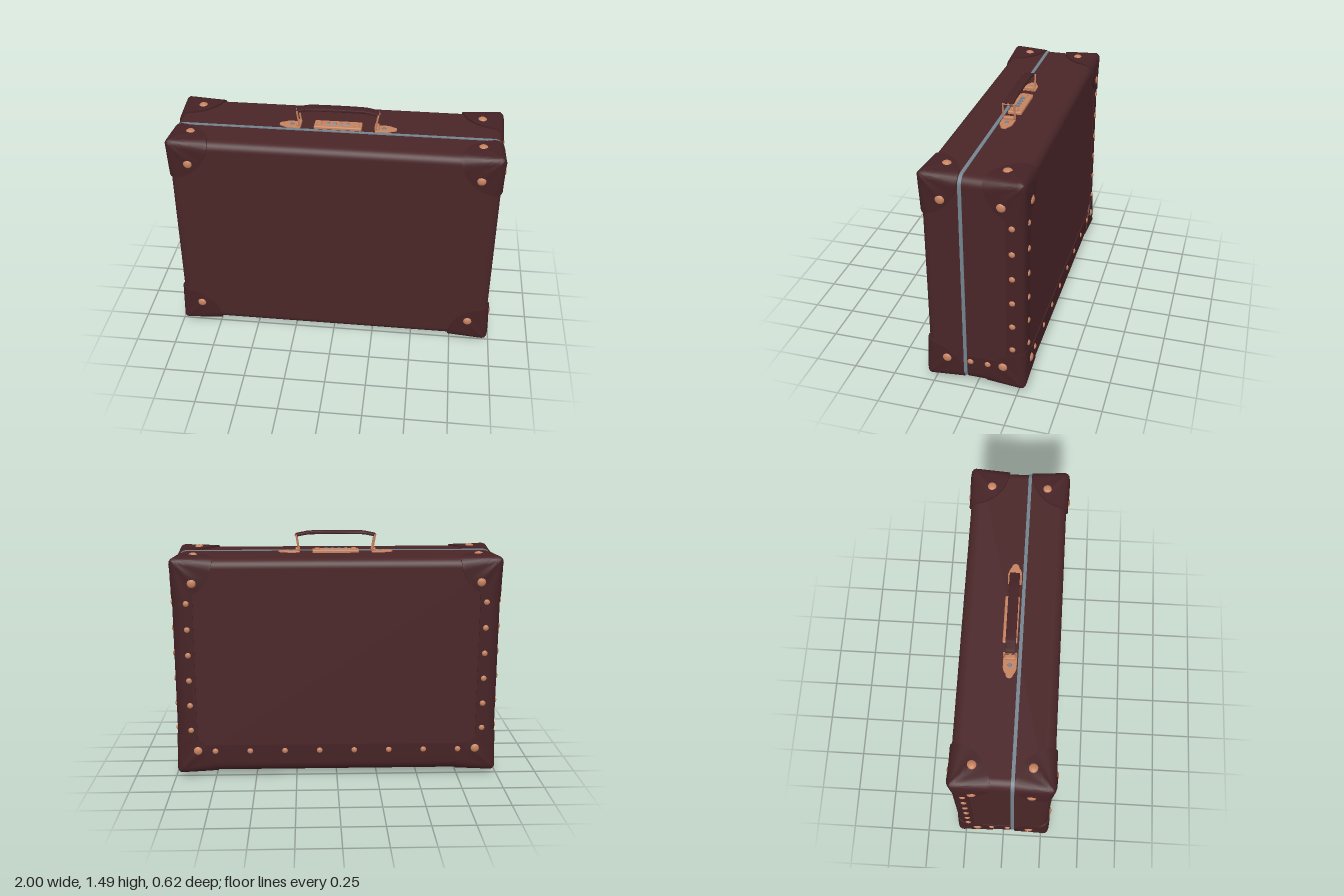
import * as THREE from 'three';
import { toCreasedNormals } from 'three/addons/utils/BufferGeometryUtils.js';
import { RoundedBoxGeometry } from 'three/addons/geometries/RoundedBoxGeometry.js';

const paint = (name, color) => Object.assign(new THREE.MeshStandardMaterial({ color }), { name });

// Half sizes of the case, its centre height and edge radius
const H = [0.975, 0.661, 0.286], CY = 0.703, R = 0.055;
const SIDES = [-1, 1];

// Leather corner cap: three rounded flaps wrapped over a corner, sharper towards the tip
function capGeometry(s) {
  const reach = [0.24, 0.24, s[2] > 0 ? 0.215 : 0.222], N = 16, RINGS = 12, cols = 3 * N;
  const pos = [], idx = [];
  for (let j = 0; j <= RINGS + 1; j++) {
    const t = Math.min(j / RINGS, 1), r = 0.018 + (R - 0.018) * t;
    for (let i = 0; i < cols; i++) {
      const k = Math.floor(i / N), a = (k + 1) % 3, b = (k + 2) % 3;
      const th = (i % N) / N * Math.PI / 2;
      const p = [0, 0, 0];
      p[a] = t * reach[a] * Math.cos(th);
      p[b] = t * reach[b] * Math.sin(th);
      const core = p.map(v => Math.max(v, r));
      const d = new THREE.Vector3(...p.map((v, m) => v - core[m])).normalize().toArray();
      // stitched fold running from the tip to the rivet
      const fold = Math.max(0, 1 - Math.abs(th - Math.PI / 4) / 0.28) * Math.sin(Math.PI * t) * 0.006;
      const off = j > RINGS ? -0.01 : 0.011 + fold;
      for (let m = 0; m < 3; m++) pos.push(s[m] * (H[m] - core[m] - d[m] * (r + off)));
    }
  }
  const flip = s[0] * s[1] * s[2] > 0;
  for (let j = 0; j <= RINGS; j++) for (let i = 0; i < cols; i++) {
    const n = (i + 1) % cols, A = j * cols + i, B = A + cols, C = (j + 1) * cols + n, D = j * cols + n;
    if (flip) idx.push(A, B, C, A, C, D);
    else idx.push(A, C, B, A, D, C);
  }
  const g = new THREE.BufferGeometry();
  g.setAttribute('position', new THREE.Float32BufferAttribute(pos, 3));
  g.setIndex(idx);
  return toCreasedNormals(g, 0.6);
}

// L-shaped leather strip wrapped round an edge, with legs a and b
function stripGeometry(a, b, length) {
  const t = 0.006, s = new THREE.Shape();
  s.moveTo(a, -t);
  s.lineTo(a, 0.004);
  s.lineTo(R, 0.004);
  s.absarc(R, R, R - 0.004, -Math.PI / 2, -Math.PI, true);
  s.lineTo(0.004, b);
  s.lineTo(-t, b);
  s.lineTo(-t, R);
  s.absarc(R, R, R + t, Math.PI, Math.PI * 1.5, false);
  s.closePath();
  return toCreasedNormals(new THREE.ExtrudeGeometry(s, { depth: length, bevelEnabled: false, curveSegments: 8 }), 0.5);
}

function roundedRect(path, w, h, r) {
  path.moveTo(w, h - r);
  path.absarc(w - r, h - r, r, 0, Math.PI / 2);
  path.absarc(-w + r, h - r, r, Math.PI / 2, Math.PI);
  path.absarc(-w + r, -h + r, r, Math.PI, Math.PI * 1.5);
  path.absarc(w - r, -h + r, r, Math.PI * 1.5, Math.PI * 2);
  path.closePath();
  return path;
}

export function createModel() {
  const leather = paint('shell leather', 0x4a2628);
  const trim = paint('trim leather', 0x452225);
  const brass = paint('brass', 0xc5825f);
  const steel = paint('steel', 0x73838e);

  const model = new THREE.Group();
  model.name = 'suitcase';
  const body = new THREE.Group();
  body.name = 'caseBody';
  body.position.y = CY;
  model.add(body);
  const add = (parent, name, geo, mat, x = 0, y = 0, z = 0) => {
    const m = new THREE.Mesh(geo, mat);
    m.name = name;
    m.position.set(x, y, z);
    parent.add(m);
    return m;
  };

  // Shell and the metal frame round the opening
  add(body, 'shell', new RoundedBoxGeometry(2 * H[0], 2 * H[1], 2 * H[2], 6, R), leather);
  const frame = roundedRect(new THREE.Shape(), H[0] + 0.004, H[1] + 0.004, R + 0.004);
  frame.holes.push(roundedRect(new THREE.Path(), H[0] - 0.02, H[1] - 0.02, R - 0.02));
  add(body, 'openingFrame', toCreasedNormals(
    new THREE.ExtrudeGeometry(frame, { depth: 0.02, bevelEnabled: false, curveSegments: 10 }), 0.5), steel, 0, 0, 0.05);

  // Domed rivets facing along one axis
  const dome = new THREE.SphereGeometry(1, 14, 6, 0, Math.PI * 2, 0, Math.PI / 2);
  const up = new THREE.Vector3(0, 1, 0);
  const rivet = (name, p, normal, r, h) => {
    const m = add(body, name, dome, brass, ...p);
    m.scale.set(r, h, r);
    m.quaternion.setFromUnitVectors(up, new THREE.Vector3(...normal));
  };
  const stud = (p, normal) => rivet('stripRivet', p, normal, 0.018, 0.011);

  // Corner caps with a rivet on each face
  for (const sx of SIDES) for (const sy of SIDES) for (const sz of SIDES) {
    const s = [sx, sy, sz], spot = [0.855, 0.522, 0.167];
    add(body, 'cornerCap', capGeometry(s), trim);
    for (let k = 0; k < 3; k++) {
      const p = s.map((v, m) => v * (m === k ? H[m] + 0.01 : spot[m]));
      rivet('capRivet', p, s.map((v, m) => (m === k ? v : 0)), 0.027, 0.015);
    }
  }

  // Edge strips: back uprights, back bottom and lower sides
  const strip = (name, a, b, length, X, Y, Z, origin) => {
    const g = stripGeometry(a, b, length);
    g.applyMatrix4(new THREE.Matrix4().makeBasis(
      new THREE.Vector3(...X), new THREE.Vector3(...Y), new THREE.Vector3(...Z)).setPosition(...origin));
    add(body, name, g, trim);
  };
  const [hx, hy, hz] = H, back = 0.12, side = 0.1, low = 0.172;
  strip('leftBackStrip', back, side, 1.1, [-1, 0, 0], [0, 0, 1], [0, 1, 0], [hx, -0.55, -hz]);
  strip('rightBackStrip', side, back, 1.1, [0, 0, 1], [1, 0, 0], [0, 1, 0], [-hx, -0.55, -hz]);
  strip('bottomBackStrip', low, side, 1.7, [0, 1, 0], [0, 0, 1], [1, 0, 0], [-0.85, -hy, -hz]);
  strip('leftLowerStrip', low, side, 0.247, [0, 1, 0], [-1, 0, 0], [0, 0, 1], [hx, -hy, -0.2]);
  strip('rightLowerStrip', side, low, 0.247, [1, 0, 0], [0, 1, 0], [0, 0, 1], [-hx, -hy, -0.2]);
  for (const sx of SIDES) {
    for (let i = 0; i < 6; i++) {
      const y = 1.103 - 0.158 * i - CY;
      stud([sx * (hx + 0.005), y, -0.222], [sx, 0, 0]);
      stud([sx * (hx - 0.082), y, -hz - 0.005], [0, 0, -1]);
    }
    for (const z of [0.028, -0.075]) stud([sx * (hx + 0.005), 0.175 - CY, z], [sx, 0, 0]);
  }
  for (let i = 0; i < 8; i++) stud([(i - 3.5) * 0.214, 0.175 - CY, -hz - 0.005], [0, 0, -1]);

  // Feet
  for (const x of [-0.865, 0.865]) for (const z of [-0.167, 0.175]) {
    const foot = add(model, 'foot', new THREE.SphereGeometry(1, 20, 12), steel, x, 0.032, z);
    foot.scale.set(0.042, 0.032, 0.042);
  }

  // Handle: arched grip, wire links, posts and pointed base plates
  const handle = new THREE.Group();
  handle.name = 'handle';
  model.add(handle);
  const grip = new THREE.Shape();
  grip.moveTo(-0.24, 1.464);
  grip.splineThru([[-0.2, 1.472], [-0.15, 1.478], [0, 1.48], [0.15, 1.478], [0.2, 1.472], [0.24, 1.464]].map(p => new THREE.Vector2(...p)));
  grip.lineTo(0.24, 1.474);
  grip.splineThru([[0.2, 1.482], [0.15, 1.489], [0, 1.491], [-0.15, 1.489], [-0.2, 1.482], [-0.24, 1.474]].map(p => new THREE.Vector2(...p)));
  const gripGeo = new THREE.ExtrudeGeometry(grip, {
    depth: 0.046, bevelThickness: 0.006, bevelSize: 0.004, bevelSegments: 3, curveSegments: 5 });
  add(handle, 'grip', toCreasedNormals(gripGeo, 0.6), trim, 0, 0, -0.018);

  const plate = new THREE.Shape();
  plate.moveTo(0.225, -0.036);
  plate.lineTo(0.285, -0.036);
  plate.quadraticCurveTo(0.31, -0.034, 0.322, -0.02);
  plate.absarc(0.33, 0, 0.018, -Math.PI / 2, Math.PI / 2);
  plate.quadraticCurveTo(0.31, 0.034, 0.285, 0.036);
  plate.lineTo(0.225, 0.036);
  plate.closePath();
  const plateGeo = new THREE.ExtrudeGeometry(plate, {
    depth: 0.005, bevelThickness: 0.003, bevelSize: 0.003, bevelSegments: 2, curveSegments: 8 });
  for (const s of SIDES) {
    const mount = new THREE.Group();
    mount.name = s > 0 ? 'leftMount' : 'rightMount';
    mount.position.z = 0.005;
    if (s < 0) mount.rotation.y = Math.PI;
    handle.add(mount);
    add(mount, 'basePlate', plateGeo, brass, 0, 1.364, 0).rotation.x = -Math.PI / 2;
    add(mount, 'plateScrew', new THREE.CylinderGeometry(0.011, 0.013, 0.006, 14), steel, 0.275, 1.374, 0);
    add(mount, 'post', new RoundedBoxGeometry(0.028, 0.024, 0.06, 3, 0.006), brass, 0.232, 1.378, 0);
    const corners = [[0.226, 1.378, -0.035], [0.24, 1.468, -0.035], [0.24, 1.468, 0.035], [0.226, 1.378, 0.035]]
      .map(p => new THREE.Vector3(...p));
    const loop = new THREE.CurvePath();
    corners.forEach((c, i) => loop.add(new THREE.LineCurve3(c, corners[(i + 1) % 4])));
    add(mount, 'wireLink', new THREE.TubeGeometry(loop, 64, 0.0055, 8, true), brass);
    add(mount, 'linkEnd', new THREE.SphereGeometry(0.009, 12, 8), brass, 0.242, 1.468, 0);
  }

  // Combination lock set into the top
  const lock = new THREE.Group();
  lock.name = 'lock';
  lock.position.set(0, 1.364, -0.002);
  model.add(lock);
  add(lock, 'lockPlate', new RoundedBoxGeometry(0.285, 0.026, 0.084, 3, 0.008), brass, 0, 0.004, 0);
  for (let i = 0; i < 4; i++) {
    const dial = add(lock, 'dial', new THREE.CylinderGeometry(0.016, 0.016, 0.018, 16), steel, -0.06 + i * 0.04, 0.011, 0.004);
    dial.rotation.z = Math.PI / 2;
  }
  for (const s of SIDES) add(lock, 'slider', new RoundedBoxGeometry(0.03, 0.012, 0.04, 2, 0.004), brass, s * 0.112, 0.019, 0.004);

  return model;
}
